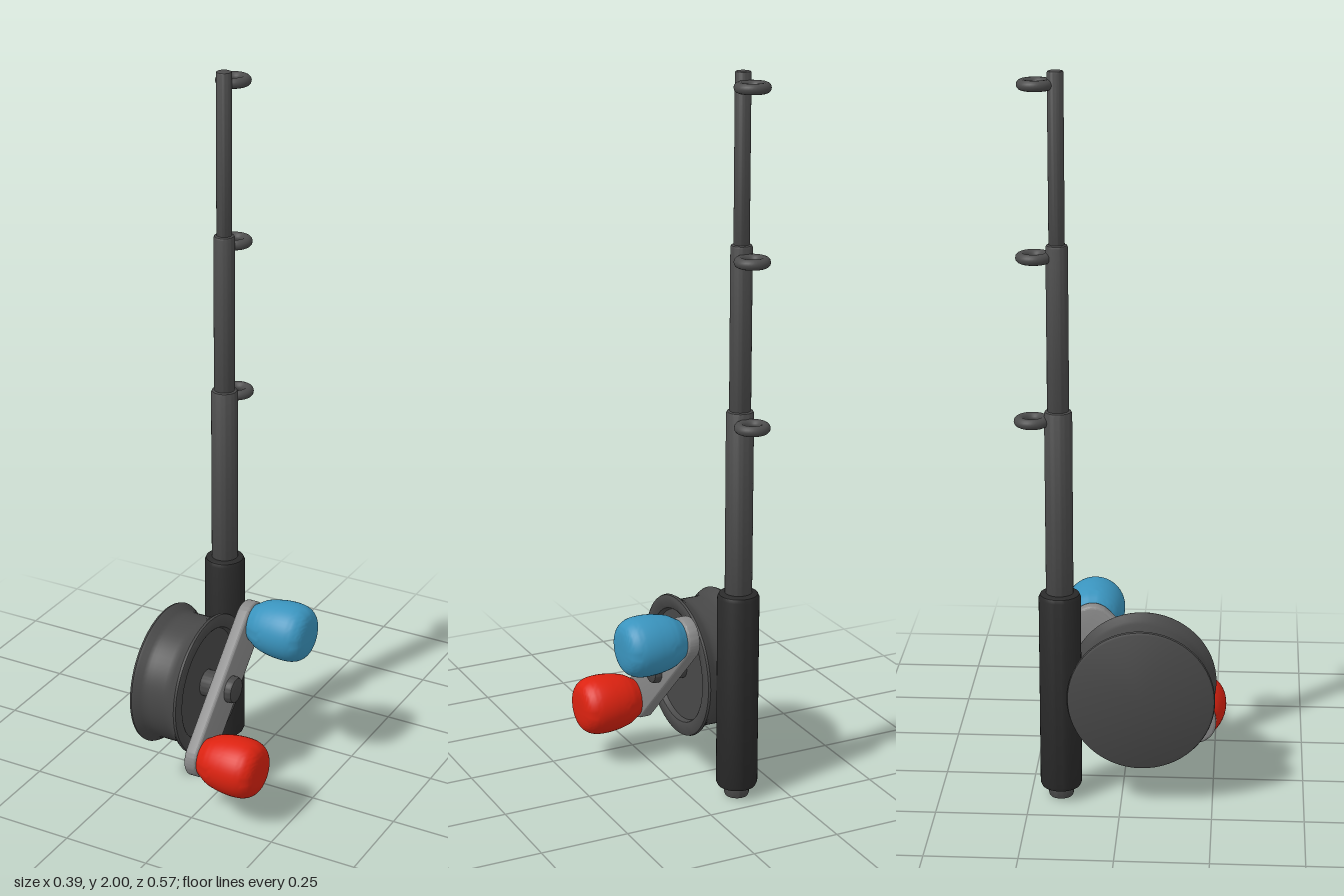
import * as THREE from 'three';
import { toCreasedNormals } from 'three/addons/utils/BufferGeometryUtils.js';

const mat = (color) => new THREE.MeshStandardMaterial({ color });
const rodGrey = mat(0x4c4c4c), gripBlack = mat(0x2a2a2a), spoolGrey = mat(0x484848);
const armGrey = mat(0x8a8a8a), blue = mat(0x3a94be), red = mat(0xdc2210);

const ROD = { x: -0.122, z: -0.167 };
const REEL = { y: 0.316, z: 0.055 };

// Surface of revolution around y from [radius, height] pairs, bottom to top
function turned(name, points, material, segments = 40, crease = 0.6) {
  const profile = points.map(([r, h]) => new THREE.Vector2(r, h));
  const geometry = toCreasedNormals(new THREE.LatheGeometry(profile, segments), crease);
  const mesh = new THREE.Mesh(geometry, material);
  mesh.name = name;
  return mesh;
}

// Closed cylinder profile with bevelled rims
const rod = (r, y0, y1, b) => [[0, y0], [r - b, y0], [r - b * 0.3, y0 + b * 0.3], [r, y0 + b],
  [r, y1 - b], [r - b * 0.3, y1 - b * 0.3], [r - b, y1], [0, y1]];

// Lay a turned part along +x at the given reel position
function alongX(mesh, y = REEL.y, z = REEL.z) {
  mesh.rotation.z = -Math.PI / 2;
  mesh.position.set(0, y, z);
  return mesh;
}

function createRod() {
  const group = new THREE.Group();
  group.name = 'rod';
  group.position.set(ROD.x, 0, ROD.z);
  group.add(
    turned('buttCap', rod(0.034, 0, 0.06, 0.008), rodGrey),
    turned('grip', rod(0.057, 0.03, 0.6, 0.014), gripBlack),
    turned('lowerSection', rod(0.037, 0.58, 1.11, 0.008), rodGrey),
    turned('middleSection', rod(0.029, 1.09, 1.555, 0.007), rodGrey),
    turned('tipSection', rod(0.021, 1.54, 2, 0.004), rodGrey),
  );
  // Line guides
  for (const [y, z] of [[1.08, -0.236], [1.52, -0.226], [1.965, -0.218]]) {
    const guide = new THREE.Mesh(new THREE.TorusGeometry(0.034, 0.014, 14, 36), rodGrey);
    guide.name = 'lineGuide';
    guide.rotation.x = Math.PI / 2;
    guide.position.set(0, y, z - ROD.z);
    group.add(guide);
  }
  return group;
}

function createReel() {
  const group = new THREE.Group();
  group.name = 'reel';

  // Spool with flared rims, a waist and a shallow recess on the crank side
  const spool = turned('spool', [
    [0, -0.193], [0.192, -0.193], [0.198, -0.19], [0.2, -0.184], [0.197, -0.177],
    [0.186, -0.164], [0.181, -0.152], [0.18, -0.14], [0.18, -0.096], [0.181, -0.084],
    [0.186, -0.072], [0.197, -0.058], [0.201, -0.051], [0.199, -0.045], [0.193, -0.042],
    [0.168, -0.042], [0.162, -0.046], [0.157, -0.06], [0, -0.06],
  ], spoolGrey, 64);
  const axle = turned('axle', rod(0.038, -0.08, 0.039, 0.01), spoolGrey);
  group.add(alongX(spool), alongX(axle));

  // Rounded crank arm, tilted 45 degrees
  const half = 0.142, r = 0.052, bevel = 0.007;
  const shape = new THREE.Shape();
  shape.absarc(half * Math.SQRT2, 0, r, -Math.PI / 2, Math.PI / 2, false);
  shape.absarc(-half * Math.SQRT2, 0, r, Math.PI / 2, Math.PI * 1.5, false);
  const armGeometry = new THREE.ExtrudeGeometry(shape, {
    depth: 0.023, bevelThickness: bevel, bevelSize: bevel, bevelSegments: 3, curveSegments: 20,
  });
  armGeometry.rotateZ(Math.PI / 4).rotateY(Math.PI / 2);
  const arm = new THREE.Mesh(toCreasedNormals(armGeometry, 0.6), armGrey);
  arm.name = 'crankArm';
  arm.position.set(-0.013, REEL.y, REEL.z);
  group.add(arm);

  // Knobs: narrow at the arm, full and rounded at the outer end
  const curve = new THREE.SplineCurve([
    [0.05, 0.012], [0.058, 0.025], [0.072, 0.05], [0.081, 0.09], [0.0835, 0.128], [0.079, 0.16],
    [0.064, 0.182], [0.04, 0.191], [0, 0.193],
  ].map(([a, b]) => new THREE.Vector2(a, b)));
  const knobPoints = curve.getPoints(32).map((p) => [Math.max(p.x, 0), p.y]);
  for (const [name, side, material] of [['upperKnob', 1, blue], ['lowerKnob', -1, red]]) {
    const knob = turned(name, [[0, 0.012], ...knobPoints], material, 48, 0.8);
    group.add(alongX(knob, REEL.y + side * half, REEL.z - side * 0.1435));
  }
  return group;
}

export function createModel() {
  const model = new THREE.Group();
  model.name = 'fishingRod';
  model.add(createRod(), createReel());
  return model;
}
